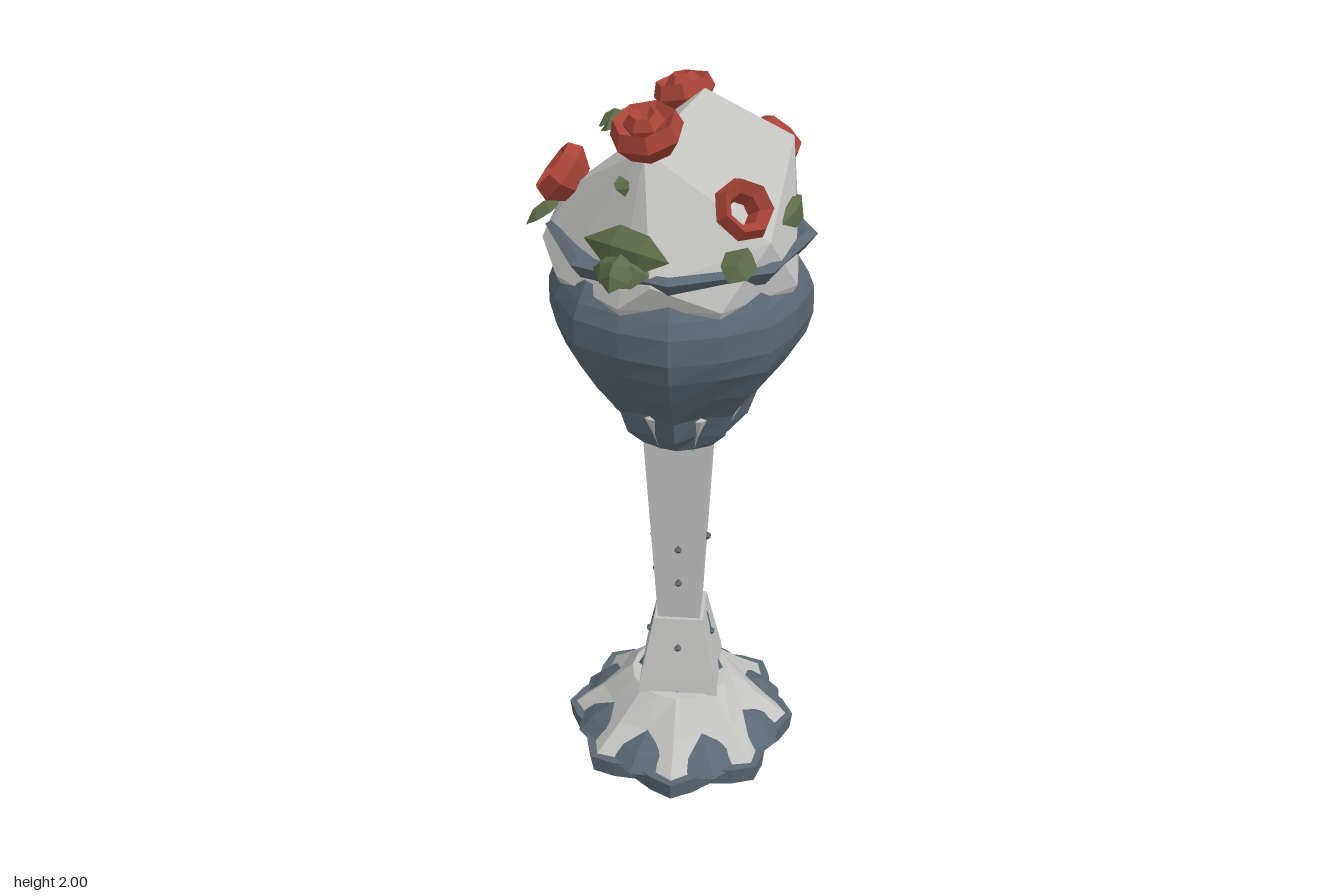
import * as THREE from 'three';
import { ConvexGeometry } from 'three/addons/geometries/ConvexGeometry.js';

const mat = (name, color, side = THREE.FrontSide) => {
  const m = new THREE.MeshStandardMaterial({ color, flatShading: true, side });
  m.name = name;
  return m;
};

// Closed solid from horizontal loops; rows are [y, radius, lobe amount]
function loops(rows, n, lobes = 8, phase = 0) {
  const pos = [], idx = [];
  for (const [y, r, amp = 0] of rows) {
    for (let i = 0; i < n; i++) {
      const t = (i / n) * Math.PI * 2 + phase;
      const q = r * (1 + amp * Math.cos(lobes * t));
      pos.push(q * Math.sin(t), y, q * Math.cos(t));
    }
  }
  const last = rows.length - 1, bottom = rows.length * n, top = bottom + 1;
  pos.push(0, rows[0][0], 0, 0, rows[last][0], 0);
  for (let i = 0; i < n; i++) {
    const j = (i + 1) % n;
    for (let k = 0; k < last; k++) {
      const a = k * n + i, b = k * n + j;
      idx.push(a, b, b + n, a, b + n, a + n);
    }
    idx.push(bottom, j, i, top, last * n + i, last * n + j);
  }
  const g = new THREE.BufferGeometry();
  g.setAttribute('position', new THREE.Float32BufferAttribute(pos, 3));
  g.setIndex(idx);
  g.computeVertexNormals();
  return g;
}

const lathe = (profile, n, phase = 0) =>
  new THREE.LatheGeometry(profile.map(([x, y]) => new THREE.Vector2(x, y)), n, phase);

// Folded leaf lying in xz, pointing along +z, with a raised midrib
function leafGeometry() {
  const g = new THREE.BufferGeometry();
  g.setAttribute('position', new THREE.Float32BufferAttribute([
    0, 0, -0.5, 0.42, -0.06, -0.15, 0.36, -0.08, 0.2, 0, -0.08, 0.5,
    -0.36, -0.08, 0.2, -0.42, -0.06, -0.15, 0, 0.16, -0.1, 0, 0.12, 0.2], 3));
  g.setIndex([0, 6, 1, 1, 6, 2, 6, 7, 2, 2, 7, 3, 3, 7, 4, 4, 7, 6, 4, 6, 5, 5, 6, 0]);
  g.computeVertexNormals();
  return g;
}

export function createModel() {
  const model = new THREE.Group();
  const stone = mat('pale stone', 0xc3c3c2);
  const slate = mat('slate', 0x5b6872);
  const red = mat('rose red', 0xa84436, THREE.DoubleSide);
  const green = mat('leaf green', 0x5c6b47, THREE.DoubleSide);
  const up = new THREE.Vector3(0, 1, 0);

  const add = (name, geo, material, parent = model) => {
    const m = new THREE.Mesh(geo, material);
    m.name = name;
    parent.add(m);
    return m;
  };
  // Places a part on the mound with its own up axis along the normal n
  const place = (m, p, n, spin) => {
    m.position.set(...p);
    m.quaternion.setFromUnitVectors(up, new THREE.Vector3(...n).normalize());
    m.rotateY(spin);
    return m;
  };

  // Scalloped base; slate shows through the grooves of the stone skirt
  add('baseDisc', loops([[0.002, 0.31, 0.08], [0.058, 0.316, 0.08]], 32), slate);
  add('baseUnderside', loops([[0, 0.2], [0.01, 0.19]], 5), stone);
  add('baseSlope', loops([[0.05, 0.31, -0.03], [0.09, 0.268, -0.04], [0.13, 0.205, -0.02], [0.2, 0.13]], 16), slate);
  add('baseSkirt', loops([[0.055, 0.3, 0.08], [0.13, 0.222, 0.06], [0.215, 0.145]], 16), stone);

  // Foot below the stem, its slate core breaking through the back faces
  const core = add('footCore', loops([[0.19, 0.14], [0.24, 0.115], [0.29, 0.09], [0.35, 0.094], [0.42, 0.08], [0.45, 0.06]],
    4, 8, Math.PI / 4), slate);
  core.position.set(-0.007, 0, -0.007);
  add('foot', loops([[0.21, 0.165], [0.24, 0.158], [0.45, 0.1]], 4), stone);

  // Four sided stem
  add('stem', loops([[0.44, 0.085], [1.06, 0.13]], 4), stone);
  // Studs on the stem and foot faces, as [turn, height, distance from axis]
  for (const [turn, y, d] of [[1, 0.58, 0.07], [1, 0.7, 0.076], [-1, 0.58, 0.07], [-1, 0.7, 0.076],
    [3, 0.7, 0.076], [1, 0.36, 0.09], [-1, 0.36, 0.09], [3, 0.36, 0.09]]) {
    const a = (turn * Math.PI) / 4;
    const stud = add('stud', new THREE.OctahedronGeometry(0.014), slate);
    stud.position.set(d * Math.sin(a), y, d * Math.cos(a));
  }

  // Lobed bowl with stone showing in the lower grooves
  add('bowl', loops([[1.055, 0.125, 0.02], [1.11, 0.165, 0.1], [1.18, 0.19, 0.08], [1.27, 0.26, 0.05],
    [1.36, 0.318, 0.03], [1.42, 0.337, 0.02], [1.49, 0.337, 0.015], [1.53, 0.32, 0.02], [1.575, 0.285, 0.05],
    [1.58, 0.2]], 16), slate);
  add('bowlCollar', loops([[1.05, 0.12], [1.1, 0.145], [1.17, 0.181], [1.2, 0.16]], 8, 8, Math.PI / 8), stone);

  // Faceted rim ring
  add('rim', lathe([[0.27, 1.6], [0.315, 1.595], [0.345, 1.635], [0.32, 1.645], [0.27, 1.63], [0.27, 1.6]], 8), slate);

  // Mound filling the bowl
  const pts = [
    [0.02, 1.99, -0.06], [0.07, 1.9, 0.17], [0.14, 1.86, -0.25], [-0.165, 1.76, -0.33],
    [-0.305, 1.68, 0.14], [-0.2, 1.74, 0.18], [0.32, 1.7, -0.01], [0.2, 1.62, 0.26],
    [-0.25, 1.6, 0.25], [-0.33, 1.54, 0.12], [-0.19, 1.56, -0.3], [-0.3, 1.56, -0.14],
  ];
  for (let i = 0; i < 8; i++) {
    const a = ((i + 0.5) * Math.PI) / 4, s = Math.sin(a), c = Math.cos(a);
    pts.push([0.325 * s, 1.55, 0.325 * c], [0.28 * s, 1.46, 0.28 * c]);
  }
  add('mound', new ConvexGeometry(pts.map((p) => new THREE.Vector3(...p))), stone);

  // Roses: full ones hold a bud, open ones are a ring with a hollow centre
  const fullPetals = lathe([[0, -0.6], [0.65, -0.5], [1, 0], [0.84, 0.45], [0.6, 0.25], [0.35, 0.1]], 7);
  const openPetals = lathe([[0.6, -0.55], [1, 0], [0.84, 0.42], [0.5, 0.12], [0.38, -0.4]], 7);
  const bud = loops([[-0.1, 0.5], [0.35, 0.56, 0.1], [0.62, 0.34, 0.2], [0.45, 0.12]], 6, 3, 0.4);
  const roses = [
    [[-0.08, 1.95, -0.08], [-0.2, 1, 0.1], 0.08, true],
    [[0.07, 1.94, 0.16], [0.1, 1, 0.3], 0.09, true],
    [[0.28, 1.785, 0.045], [1, 0.75, 0.15], 0.078, false],
    [[-0.24, 1.755, 0.185], [-0.7, 0.8, 0.75], 0.085, false],
    [[-0.245, 1.77, -0.155], [-1, 0.9, -0.2], 0.078, true],
    [[0.035, 1.81, -0.285], [0.05, 0.75, -1], 0.075, false],
  ];
  roses.forEach(([p, n, r, full], i) => {
    const rose = new THREE.Group();
    rose.name = 'rose';
    add('petals', full ? fullPetals : openPetals, red, rose);
    if (full) add('bud', bud, red, rose);
    rose.scale.setScalar(r);
    model.add(place(rose, p, n, i * 0.9));
  });

  // Leaves: position, normal, spin, length, width
  const leaf = leafGeometry();
  const leaves = [
    [[-0.06, 1.91, 0.08], [-0.2, 1, 0.3], 0.75, 0.21, 0.17],
    [[0.11, 1.69, 0.265], [0.1, 0.5, 0.85], 1.75, 0.27, 0.13],
    [[0.235, 1.72, -0.165], [0.8, 0.75, -0.5], 0.6, 0.17, 0.1],
    [[-0.13, 1.785, -0.31], [-0.2, 0.9, -0.6], 1.3, 0.09, 0.07],
    [[-0.05, 1.8, -0.315], [0, 0.9, -0.6], -1.1, 0.1, 0.09],
    [[-0.31, 1.64, 0.2], [-0.5, 1, 0.3], -0.6, 0.12, 0.1],
    [[0.31, 1.67, 0.08], [0.6, 1, 0.2], 0.5, 0.12, 0.1],
    [[0.05, 1.82, 0.225], [0, 0.3, 1], 0.5, 0.05, 0.05],
  ];
  // Three leaved sprigs
  for (const [p, n, turn] of [[[-0.185, 1.88, 0.035], [-0.4, 1, 0.1], -1.2], [[0.125, 1.655, 0.29], [0.15, 0.8, 0.6], 0.4]]) {
    for (const s of [-1.5, 0, 1.5]) {
      const a = turn + s;
      leaves.push([[p[0] + 0.025 * Math.sin(a), p[1], p[2] + 0.025 * Math.cos(a)], n, a, 0.105, 0.115]);
    }
  }
  for (const [p, n, spin, len, wid] of leaves) {
    place(add('leaf', leaf, green), p, n, spin).scale.set(wid, 0.13, len);
  }
  return model;
}
